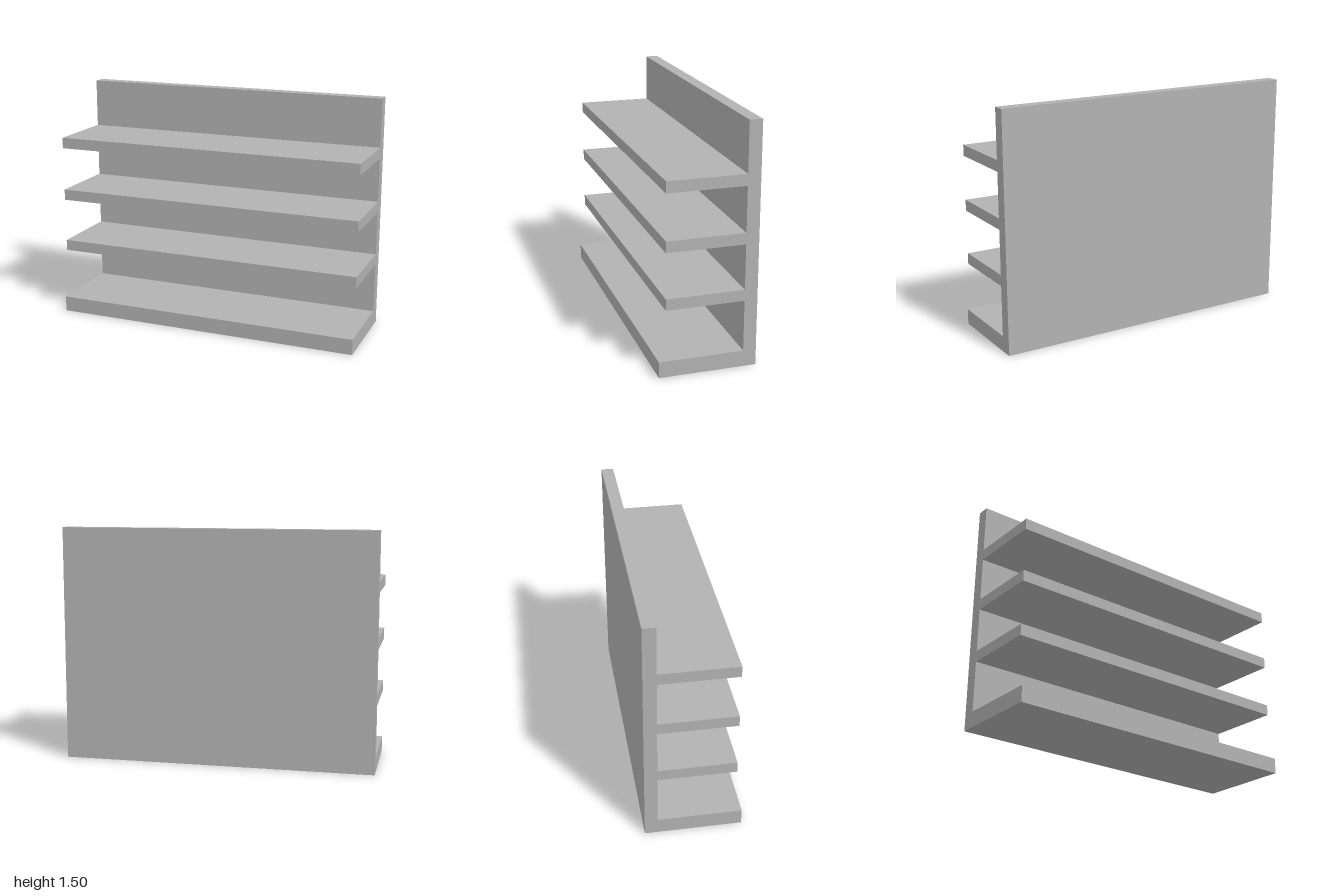
import * as THREE from 'three';

const WIDTH = 2;
const HEIGHT = 1.5;
const BACK = -0.3; // rear face of the back panel
const PANEL = -0.22; // front face of the back panel
const BASE = { front: 0.3, top: 0.1 };
const SHELF = { front: 0.26, thickness: 0.07, bottoms: [0.42, 0.77, 1.12] };

// Side outline of the whole rack, with z along the shape's x axis
function sideProfile() {
  const shape = new THREE.Shape();
  shape.moveTo(BACK, 0);
  shape.lineTo(BASE.front, 0);
  shape.lineTo(BASE.front, BASE.top);
  shape.lineTo(PANEL, BASE.top);
  for (const y of SHELF.bottoms) {
    shape.lineTo(PANEL, y);
    shape.lineTo(SHELF.front, y);
    shape.lineTo(SHELF.front, y + SHELF.thickness);
    shape.lineTo(PANEL, y + SHELF.thickness);
  }
  shape.lineTo(PANEL, HEIGHT);
  shape.lineTo(BACK, HEIGHT);
  shape.closePath();
  return shape;
}

export function createModel() {
  const group = new THREE.Group();
  group.name = 'shelfRack';

  const grey = new THREE.MeshStandardMaterial({ color: 0xb2b2b2 });
  grey.name = 'grey';

  // Back panel, base and shelves as one solid piece
  const geometry = new THREE.ExtrudeGeometry(sideProfile(), { depth: WIDTH, bevelEnabled: false });
  geometry.translate(0, 0, -WIDTH / 2);
  geometry.rotateY(-Math.PI / 2);

  const rack = new THREE.Mesh(geometry, grey);
  rack.name = 'backPanelWithShelves';
  group.add(rack);
  return group;
}
